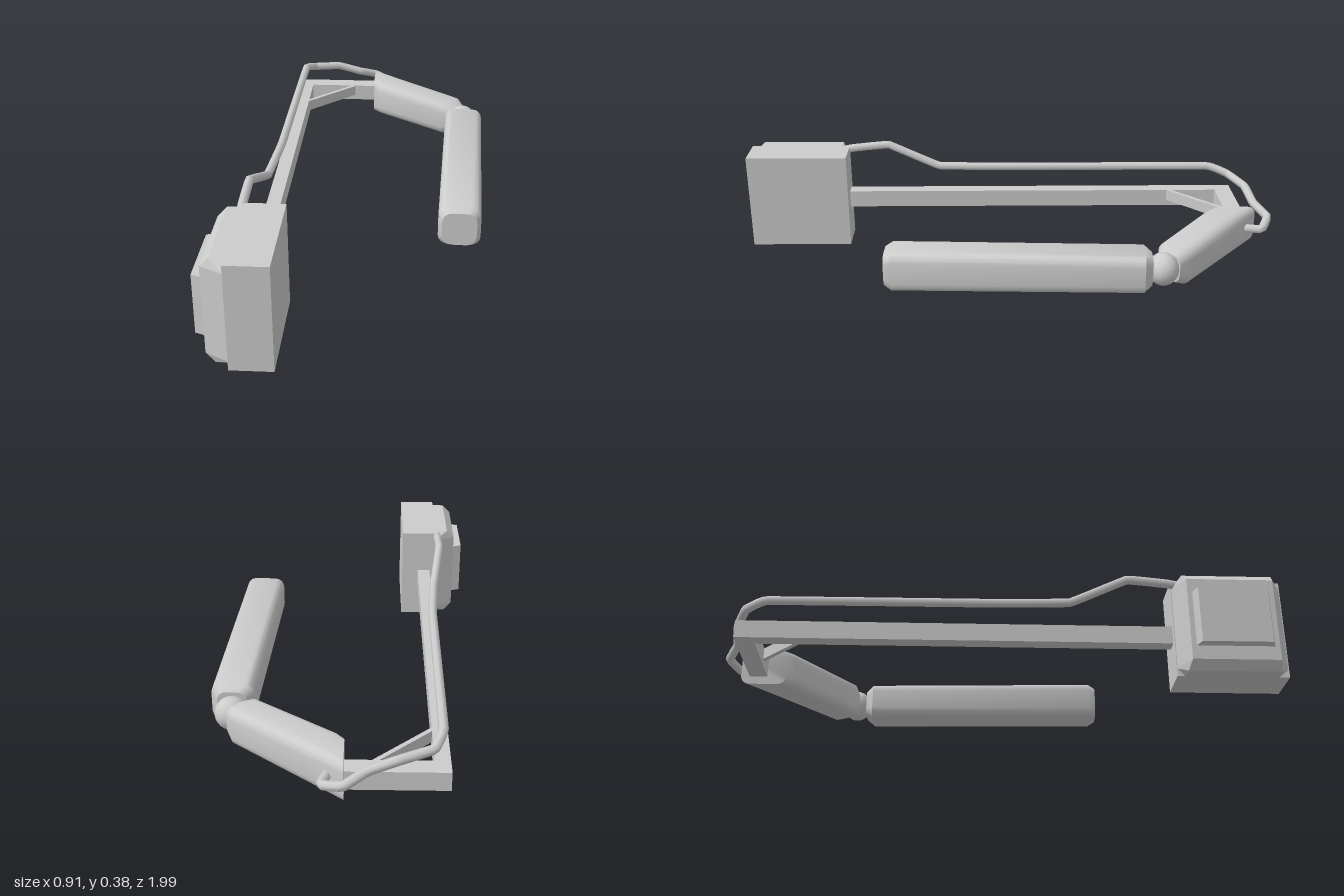
import * as THREE from 'three';
import { toCreasedNormals } from 'three/addons/utils/BufferGeometryUtils.js';
import { ConvexGeometry } from 'three/addons/geometries/ConvexGeometry.js';

const grey = new THREE.MeshStandardMaterial({ color: 0xcccccc });
const greyDouble = new THREE.MeshStandardMaterial({ color: 0xcccccc, side: THREE.DoubleSide });

// Box given by its limits on each axis
function boxBetween(name, [x0, x1], [y0, y1], [z0, z1]) {
  const m = new THREE.Mesh(new THREE.BoxGeometry(x1 - x0, y1 - y0, z1 - z0), grey);
  m.position.set((x0 + x1) / 2, (y0 + y1) / 2, (z0 + z1) / 2);
  m.name = name;
  return m;
}

// Rectangles lying in planes of constant x, for convex shapes
function rectX(x, y0, y1, z0, z1) {
  return [[y0, z0], [y0, z1], [y1, z0], [y1, z1]].map(([y, z]) => new THREE.Vector3(x, y, z));
}

function hull(name, points) {
  const m = new THREE.Mesh(new ConvexGeometry(points), grey);
  m.name = name;
  return m;
}

// Rounded-rectangle loft; rings are { x, z, dir: [dx, dz], w, h, r }
function padLoft(name, rings, yMid) {
  const perCorner = 5, n = perCorner * 4, pos = [], index = [];
  const signs = [[1, 1], [-1, 1], [-1, -1], [1, -1]];
  for (const { x, z, dir, w, h, r } of rings) {
    const len = Math.hypot(...dir), nx = dir[1] / len, nz = -dir[0] / len;
    signs.forEach(([su, sv], c) => {
      for (let k = 0; k < perCorner; k++) {
        const a = (c + k / (perCorner - 1)) * Math.PI / 2;
        const u = su * (w - r) + r * Math.cos(a);
        const v = sv * (h - r) + r * Math.sin(a);
        pos.push(x + nx * u, yMid + v, z + nz * u);
      }
    });
  }
  const last = (rings.length - 1) * n;
  for (let i = 0; i < rings.length - 1; i++) {
    for (let j = 0; j < n; j++) {
      const a = i * n + j, b = i * n + (j + 1) % n;
      index.push(a, b, b + n, a, b + n, a + n);
    }
  }
  for (let j = 1; j < n - 1; j++) {
    index.push(0, j + 1, j, last, last + j, last + j + 1);
  }
  const g = new THREE.BufferGeometry();
  g.setAttribute('position', new THREE.Float32BufferAttribute(pos, 3));
  g.setIndex(index);
  const m = new THREE.Mesh(toCreasedNormals(g, 0.7), grey);
  m.name = name;
  return m;
}

export function createModel() {
  const model = new THREE.Group();

  // Control housing with a bevelled outer side and a raised panel
  const housing = new THREE.Group();
  housing.name = 'housing';
  housing.add(boxBetween('housingBody', [-0.35, -0.21], [0, 0.365], [0.615, 1]));
  housing.add(hull('housingBevel', [
    ...rectX(-0.345, 0.03, 0.335, 0.615, 1),
    ...rectX(-0.345, 0, 0.365, 0.64, 0.965),
    ...rectX(-0.395, 0, 0.365, 0.645, 0.96),
    ...rectX(-0.425, 0.03, 0.335, 0.655, 0.955),
  ]));
  housing.add(hull('sidePanel', [
    ...rectX(-0.42, 0.08, 0.285, 0.67, 0.94),
    ...rectX(-0.459, 0.08, 0.285, 0.685, 0.925),
  ]));
  model.add(housing);

  // L-shaped frame with a diagonal brace
  const frame = new THREE.Group();
  frame.name = 'frame';
  frame.add(boxBetween('longBar', [-0.325, -0.275], [0.135, 0.2], [-0.9, 0.62]));
  frame.add(boxBetween('crossBar', [-0.276, 0.02], [0.135, 0.2], [-0.9, -0.835]));
  const brace = new THREE.Mesh(new THREE.BoxGeometry(0.27, 0.042, 0.016), grey);
  brace.position.set(-0.188, 0.178, -0.742);
  brace.rotation.y = Math.PI / 4;
  brace.name = 'brace';
  frame.add(brace);
  model.add(frame);

  // Two padded arm segments with an elbow between them
  const upper = [0.773, 0.634], lower = [-0.04, 1];
  model.add(padLoft('upperPad', [
    { x: 0, z: -0.85, dir: [1, 0], w: 0.082, h: 0.07, r: 0.03 },
    { x: 0.065, z: -0.79, dir: upper, w: 0.071, h: 0.071, r: 0.035 },
    { x: 0.33, z: -0.58, dir: upper, w: 0.065, h: 0.068, r: 0.035 },
    { x: 0.362, z: -0.556, dir: upper, w: 0.045, h: 0.05, r: 0.03 },
  ], 0.175));
  const elbow = new THREE.Mesh(new THREE.SphereGeometry(1, 20, 14), grey);
  elbow.scale.set(0.058, 0.058, 0.054);
  elbow.position.set(0.378, 0.178, -0.535);
  elbow.name = 'elbow';
  model.add(elbow);
  model.add(padLoft('lowerPad', [
    { x: 0.382, z: -0.495, dir: lower, w: 0.05, h: 0.052, r: 0.03 },
    { x: 0.381, z: -0.468, dir: lower, w: 0.073, h: 0.07, r: 0.035 },
    { x: 0.348, z: 0.395, dir: lower, w: 0.073, h: 0.072, r: 0.035 },
    { x: 0.347, z: 0.42, dir: lower, w: 0.06, h: 0.06, r: 0.035 },
  ], 0.181));

  // Hose from the housing along the bar to the upper pad
  const path = new THREE.CatmullRomCurve3([
    [-0.35, 0.345, 0.66], [-0.353, 0.355, 0.6], [-0.352, 0.368, 0.46], [-0.323, 0.29, 0.26],
    [-0.306, 0.292, 0], [-0.3, 0.292, -0.8], [-0.27, 0.27, -0.88], [-0.165, 0.26, -0.925],
    [-0.07, 0.23, -0.94], [0, 0.203, -0.98], [0.068, 0.183, -0.945], [0.045, 0.18, -0.87],
  ].map((p) => new THREE.Vector3(...p)), false, 'catmullrom', 0.08);
  const hose = new THREE.Mesh(new THREE.TubeGeometry(path, 140, 0.016, 8), greyDouble);
  hose.name = 'hose';
  model.add(hose);

  return model;
}
